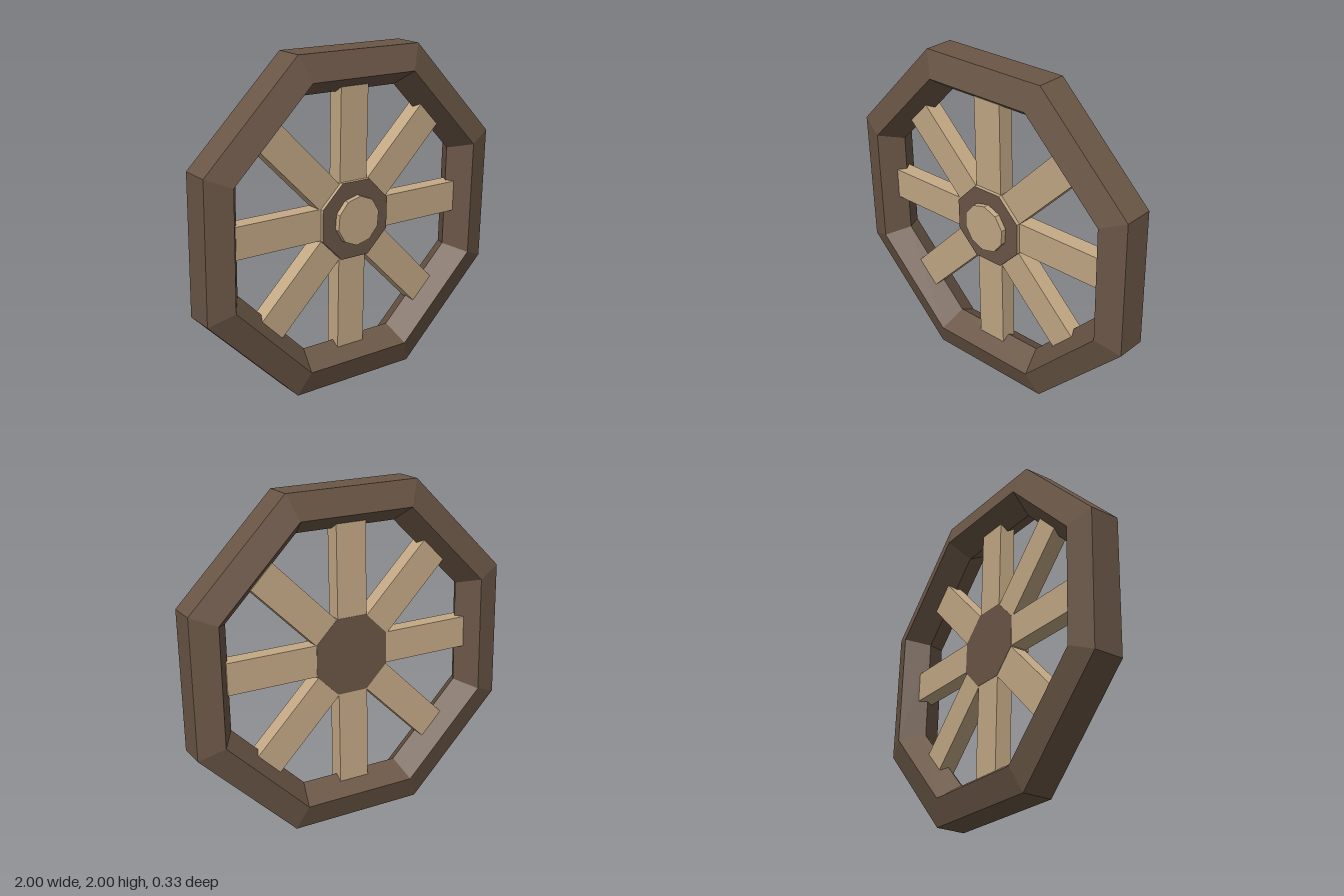
import * as THREE from 'three';

const darkWood = new THREE.MeshStandardMaterial({ color: 0x6a5646, flatShading: true });
const paleWood = new THREE.MeshStandardMaterial({ color: 0xc4a985, flatShading: true });

// Corner radius of an octagon from the distance to its flat sides
const cornerRadius = (apothem) => apothem / Math.cos(Math.PI / 8);

function addMesh(parent, name, geometry, material) {
  const mesh = new THREE.Mesh(geometry, material);
  mesh.name = name;
  parent.add(mesh);
  return mesh;
}

// Disc whose axis points to the front, spanning z0..z1
function disc(radius, z0, z1, sides, start) {
  return new THREE.CylinderGeometry(radius, radius, z1 - z0, sides, 1, false, start)
    .rotateX(Math.PI / 2)
    .translate(0, 0, (z0 + z1) / 2);
}

export function createModel() {
  const model = new THREE.Group();
  model.name = 'wheel';
  const wheel = new THREE.Group();
  wheel.name = 'wheelAssembly';
  model.add(wheel);

  // Octagonal rim with a five-sided section, its point facing inward
  const section = [[0.758, 0], [0.85, -0.14], [1, -0.09], [1, 0.09], [0.85, 0.14], [0.758, 0]]
    .map(([r, z]) => new THREE.Vector2(cornerRadius(r), z));
  const rim = new THREE.LatheGeometry(section, 8, Math.PI / 8).rotateX(Math.PI / 2);
  addMesh(wheel, 'rim', rim, darkWood);

  // Eight plank spokes that just bite into the rim
  const inner = 0.2, outer = 0.79;
  const spokes = new THREE.Group();
  spokes.name = 'spokes';
  spokes.position.set(-0.005, 0, 0);
  wheel.add(spokes);
  for (let i = 0; i < 8; i++) {
    const plank = new THREE.BoxGeometry(0.19, outer - inner, 0.1)
      .translate(0, (inner + outer) / 2, 0);
    const spoke = addMesh(spokes, 'spoke', plank, paleWood);
    spoke.rotation.z = (i * Math.PI) / 4;
    if (i % 4 === 2) spoke.position.y = 0.01;
  }

  // Hub with pale sides and dark faces, and an axle cap on the front
  const hub = new THREE.Group();
  hub.name = 'hub';
  hub.position.y = 0.008;
  wheel.add(hub);
  addMesh(hub, 'hubBlock', disc(cornerRadius(0.231), -0.052, 0.072, 8, Math.PI / 8),
    [paleWood, darkWood, darkWood]);
  addMesh(hub, 'axleCap', disc(0.148, 0.06, 0.105, 10, 0.56), paleWood);

  // The wheel leans very slightly
  wheel.rotation.set(0.027, -0.01, 0);
  wheel.position.y = 1.002;
  return model;
}
